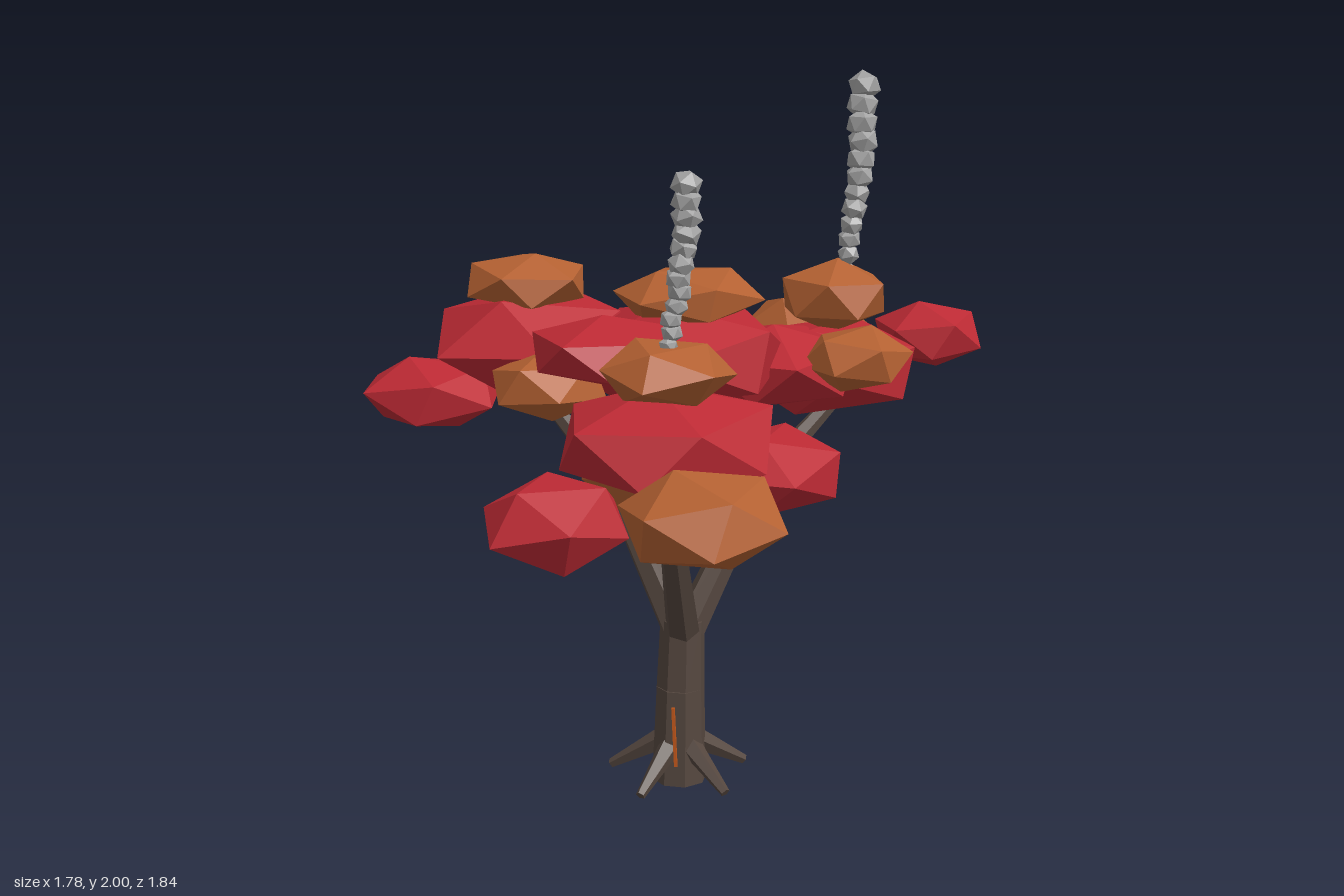
import * as THREE from 'three';
import { mergeVertices } from 'three/addons/utils/BufferGeometryUtils.js';

const flat = (name, color) => {
  const m = new THREE.MeshStandardMaterial({ color, flatShading: true });
  m.name = name;
  return m;
};

// Small seeded generator for the irregular facets
function seeded(seed) {
  let s = seed;
  return () => (s = (s * 16807) % 2147483647) / 2147483647;
}

export function createModel() {
  const red = flat('redLeaf', 0xbd2a34);
  const orange = flat('orangeLeaf', 0xb46132);
  const bark = flat('bark', 0x55473f);
  const smoke = flat('smokeGrey', 0xa2a2a2);
  const ember = flat('ember', 0xc85a1c);

  const tree = new THREE.Group();
  tree.name = 'tree';
  const rand = seeded(4217);
  const V = (p) => new THREE.Vector3(...p);

  const group = (name) => {
    const g = new THREE.Group();
    g.name = name;
    tree.add(g);
    return g;
  };

  // Faceted lump: a tilted, slightly uneven icosahedron squashed to size
  function lump(parent, name, material, [x, y, z], r, h, jitter = 0.05) {
    let geo = new THREE.IcosahedronGeometry(1, 0);
    geo.deleteAttribute('uv');
    geo.deleteAttribute('normal');
    geo = mergeVertices(geo);
    geo.rotateX(rand() * 3).rotateY(rand() * 6);
    const pos = geo.attributes.position;
    const v = new THREE.Vector3();
    for (let i = 0; i < pos.count; i++) {
      v.fromBufferAttribute(pos, i).multiplyScalar(1.06 + (rand() - 0.5) * 2 * jitter);
      pos.setXYZ(i, v.x * r, v.y * h, v.z * r);
    }
    geo.computeVertexNormals();
    const mesh = new THREE.Mesh(geo, material);
    mesh.name = name;
    mesh.position.set(x, y, z);
    parent.add(mesh);
  }

  // Tapered limb between two points
  function limb(parent, name, a, b, ra, rb, sides = 6) {
    const from = V(a), dir = V(b).sub(from);
    const mesh = new THREE.Mesh(new THREE.CylinderGeometry(rb, ra, dir.length(), sides), bark);
    mesh.position.copy(from).addScaledVector(dir, 0.5);
    mesh.quaternion.setFromUnitVectors(new THREE.Vector3(0, 1, 0), dir.normalize());
    mesh.name = name;
    parent.add(mesh);
  }

  // Trunk in two sections
  const cx = -0.06, cz = -0.133;
  const trunk = group('trunk');
  limb(trunk, 'lowerTrunk', [cx, 0.005, cz], [-0.055, 0.29, cz], 0.08, 0.07, 8);
  limb(trunk, 'upperTrunk', [-0.055, 0.29, cz], [-0.048, 0.49, -0.138], 0.07, 0.064, 8);

  // Five roots spreading around the base
  const roots = group('roots');
  for (let i = 0; i < 5; i++) {
    const a = (i * Math.PI * 2) / 5 - 0.17, c = Math.cos(a), s = Math.sin(a);
    limb(roots, 'root', [cx + 0.04 * c, 0.125, cz + 0.04 * s],
      [cx + 0.205 * c, 0.025, cz + 0.205 * s], 0.035, 0.014, 5);
  }

  // Three bent branches
  const branches = group('branches');
  [
    [[-0.03, 0.46, -0.14], [0.2, 0.85, -0.24], [0.47, 1.07, -0.36]],
    [[-0.05, 0.46, -0.12], [-0.13, 0.82, 0.12], [-0.2, 1.01, 0.38]],
    [[-0.06, 0.46, -0.14], [-0.22, 0.87, -0.28], [-0.38, 1.08, -0.42]],
  ].forEach(([a, b, c]) => {
    limb(branches, 'lowerBranch', a, b, 0.05, 0.036);
    limb(branches, 'upperBranch', b, c, 0.036, 0.022);
  });

  // Glowing cracks: thin strips on the bark [angle, y, length, tilt]
  const cracks = group('emberCracks');
  [[1.95, 0.16, 0.18, 0.04], [-0.7, 0.18, 0.16, -0.05], [4.2, 0.16, 0.12, 0.05]].forEach(([a, y, len, tilt]) => {
    const strip = new THREE.Mesh(new THREE.BoxGeometry(0.009, len, 0.009), ember);
    strip.name = 'crack';
    strip.position.set(cx + 0.077 * Math.cos(a), y, cz + 0.077 * Math.sin(a));
    strip.rotation.set(0, Math.PI / 2 - a, tilt);
    cracks.add(strip);
  });
  const branchCrack = new THREE.Mesh(new THREE.BoxGeometry(0.008, 0.1, 0.009), ember);
  branchCrack.name = 'branchCrack';
  branchCrack.position.set(0.174, 0.75, -0.242);
  branchCrack.rotation.set(-0.2, 0, -0.52);
  cracks.add(branchCrack);

  // Red foliage: centre, radius, half height
  const redLeaves = group('redFoliage');
  [
    [[-0.41, 1.26, -0.43], 0.31, 0.155],
    [[-0.7, 1.115, -0.46], 0.2, 0.1],
    [[-0.14, 1.18, -0.53], 0.195, 0.115],
    [[-0.03, 1.27, -0.15], 0.3, 0.15],
    [[0.25, 1.2, -0.21], 0.24, 0.12],
    [[0.42, 1.165, -0.34], 0.29, 0.13],
    [[0.742, 1.235, -0.37], 0.158, 0.095],
    [[-0.31, 1.345, 0.135], 0.205, 0.09],
    [[-0.2, 1.17, 0.39], 0.285, 0.135],
    [[-0.49, 0.985, 0.445], 0.19, 0.115],
    [[0.09, 1.05, 0.32], 0.2, 0.105],
  ].forEach(([p, r, h]) => lump(redLeaves, 'redClump', red, p, r, h));

  // Orange foliage: caps on the big clumps and a few side clumps
  const orangeLeaves = group('orangeFoliage');
  [
    [[-0.43, 1.43, -0.43], 0.18, 0.08],
    [[-0.03, 1.425, -0.14], 0.2, 0.078],
    [[0.45, 1.365, -0.35], 0.16, 0.1],
    [[-0.2, 1.34, 0.4], 0.168, 0.08],
    [[-0.43, 1.14, -0.73], 0.205, 0.1],
    [[0.45, 1.2, -0.66], 0.2, 0.12],
    [[0.42, 1.25, -0.03], 0.15, 0.085],
    [[-0.18, 1.055, 0.72], 0.2, 0.115],
    [[-0.42, 1.2, -0.12], 0.158, 0.088],
    [[-0.22, 1.01, 0.13], 0.155, 0.09],
  ].forEach(([p, r, h]) => lump(orangeLeaves, 'orangeClump', orange, p, r, h));

  // Smoke columns: small puffs stacked along a drifting path, widening upward
  [
    [[[0.48, 1.44, -0.35], [0.5, 1.6, -0.345], [0.52, 1.77, -0.355], [0.542, 1.957, -0.395]], 0.029, 0.045],
    [[[-0.2, 1.41, 0.41], [-0.175, 1.53, 0.417], [-0.155, 1.66, 0.412], [-0.152, 1.805, 0.412]], 0.025, 0.038],
  ].forEach(([path, r0, r1]) => {
    const column = group('smokeColumn');
    const curve = new THREE.CatmullRomCurve3(path.map(V));
    const n = 12;
    for (let i = 0; i < n; i++) {
      const t = i / (n - 1);
      const p = curve.getPoint(t);
      const r = r0 + (r1 - r0) * Math.min(1, t * 1.3);
      lump(column, 'smokePuff', smoke, [p.x + (rand() - 0.5) * 0.01, p.y, p.z + (rand() - 0.5) * 0.01],
        r, r * 0.92);
    }
  });

  return tree;
}
